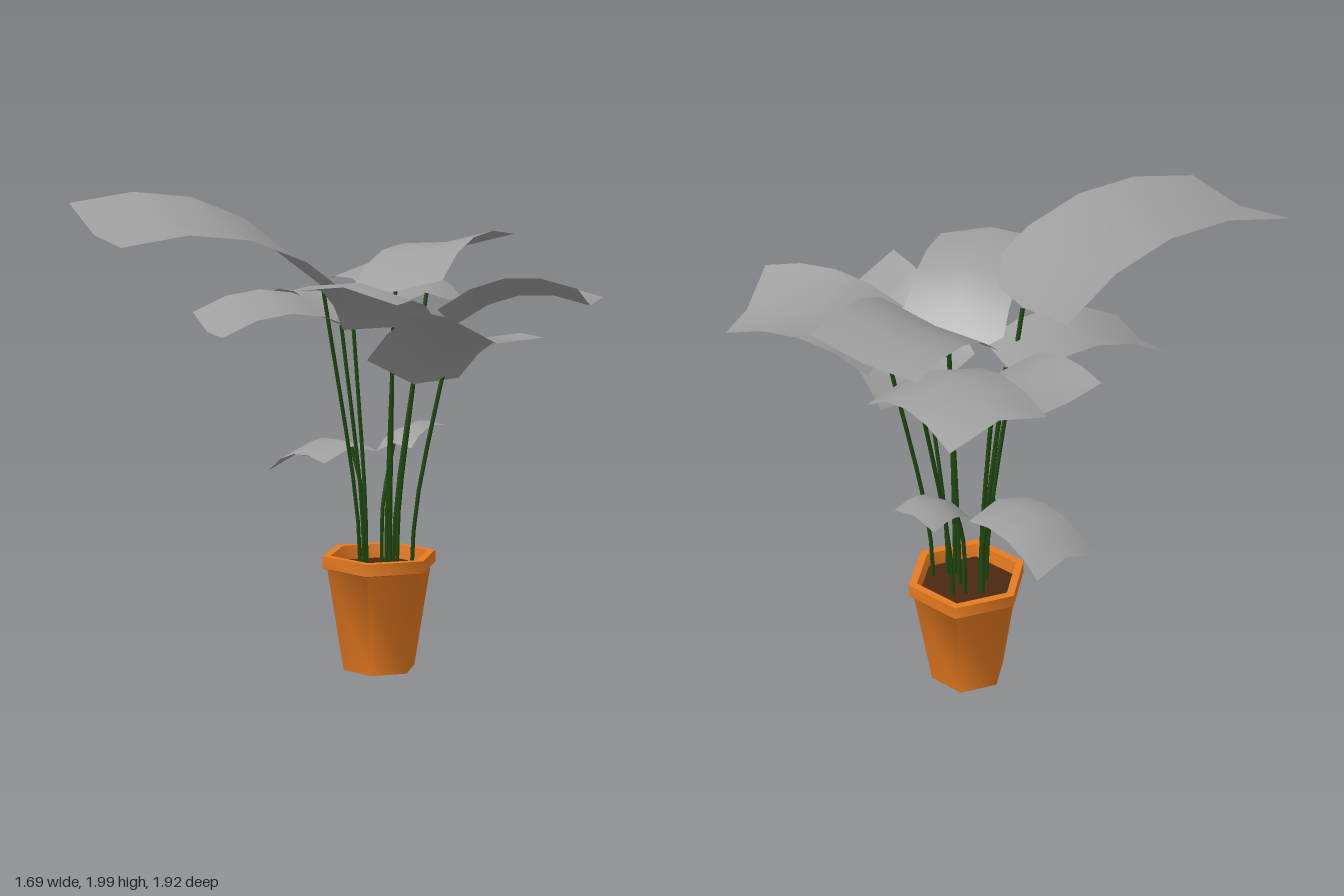
import * as THREE from 'three';
import { toCreasedNormals } from 'three/addons/utils/BufferGeometryUtils.js';

const POT = new THREE.Vector3(-0.045, 0, -0.33);

const potMat = new THREE.MeshStandardMaterial({ color: 0xe67a20, side: THREE.DoubleSide });
const soilMat = new THREE.MeshStandardMaterial({ color: 0x4a2812 });
const stemMat = new THREE.MeshStandardMaterial({ color: 0x204a10 });
const leafMat = new THREE.MeshStandardMaterial({ color: 0x9e9e9e, side: THREE.DoubleSide });

// Rectangular sheet from base to tip, bowed along its normal; fold lifts or sinks the midrib
function makeLeaf(base, tip, tilt, fold) {
  const run = tip.clone().sub(base);
  const length = Math.hypot(run.x, run.z);
  const side = new THREE.Vector3(run.z, 0, -run.x).multiplyScalar(0.77);
  side.y = tilt;
  const normal = run.clone().cross(side).normalize();
  const geo = new THREE.PlaneGeometry(1, 1, 2, 4);
  const pos = geo.attributes.position;
  for (let i = 0; i < pos.count; i++) {
    const across = pos.getX(i), along = pos.getY(i) + 0.5;
    const p = base.clone().addScaledVector(run, along).addScaledVector(side, across);
    p.addScaledVector(normal, length * 0.58 * along * (1 - along));
    p.y += fold * (1 - 2 * Math.abs(across));
    pos.setXYZ(i, p.x, p.y, p.z);
  }
  geo.computeVertexNormals();
  return new THREE.Mesh(geo, leafMat);
}

// Thin stalk, nearly upright near the soil, then leaning out to the leaf base
function makeStem(base, fold) {
  const top = base.clone();
  top.y += fold;
  const foot = new THREE.Vector3(
    THREE.MathUtils.lerp(POT.x, base.x, 0.5), 0.42, THREE.MathUtils.lerp(POT.z, base.z, 0.3));
  const bend = foot.clone().lerp(top, 0.1).setY(0.69);
  const path = new THREE.CatmullRomCurve3([foot, bend, top]);
  return new THREE.Mesh(new THREE.TubeGeometry(path, 6, 0.011, 4), stemMat);
}

// Each leaf: middle of its base, middle of its tip, sideways tilt, midrib fold
const LEAVES = {
  largeFrontLeaf: [[-0.11, 1.65, -0.06], [-0.5, 1.88, 0.8], -0.13, -0.04],
  lowerFrontLeaf: [[-0.16, 1.47, -0.22], [-0.42, 1.46, 0.285], -0.06, -0.03],
  frontLeftLeaf: [[0.145, 1.415, -0.2], [0.36, 1.62, 0.31], -0.04, 0.04],
  lowLeftLeaf: [[0.175, 1.28, -0.29], [0.73, 1.5, -0.145], -0.1, -0.06],
  backLeftLeaf: [[0.255, 1.5, -0.44], [0.77, 1.6, -0.67], -0.07, -0.05],
  backLeaf: [[0.02, 1.6, -0.35], [-0.08, 1.755, -0.92], -0.07, -0.02],
  backRightLeaf: [[-0.055, 1.49, -0.625], [-0.58, 1.56, -0.765], 0, 0.06],
  rightLeaf: [[-0.18, 1.46, -0.31], [-0.59, 1.53, -0.38], 0.02, -0.01],
  smallRightLeaf: [[-0.21, 0.87, -0.335], [-0.59, 0.79, -0.385], -0.02, 0.045],
  smallBackLeaf: [[-0.1, 0.9, -0.475], [-0.12, 0.97, -0.715], -0.03, 0.025],
};

export function createModel() {
  const model = new THREE.Group();
  model.name = 'pottedPlant';

  // Six-sided pot with a thick rim and an inner wall, shaded smoothly around its sides
  const profile = [[0, 0], [0.155, 0], [0.225, 0.43], [0.245, 0.437], [0.245, 0.488], [0.21, 0.488], [0.2, 0.4]]
    .map(([r, y]) => new THREE.Vector2(r, y));
  const pot = new THREE.Mesh(toCreasedNormals(new THREE.LatheGeometry(profile, 6, Math.PI / 2), 1.1), potMat);
  pot.name = 'pot';
  pot.position.copy(POT);

  // Soil surface inside the rim
  const soil = new THREE.Mesh(new THREE.CircleGeometry(0.205, 6), soilMat);
  soil.name = 'soil';
  soil.rotation.x = -Math.PI / 2;
  soil.position.set(POT.x, 0.43, POT.z);
  model.add(pot, soil);

  // Leaves and their stalks
  for (const [name, [baseAt, tipAt, tilt, fold]] of Object.entries(LEAVES)) {
    const base = new THREE.Vector3(...baseAt), tip = new THREE.Vector3(...tipAt);
    const leaf = makeLeaf(base, tip, tilt, fold);
    leaf.name = name;
    const stem = makeStem(base, fold);
    stem.name = name + 'Stem';
    model.add(leaf, stem);
  }
  return model;
}
